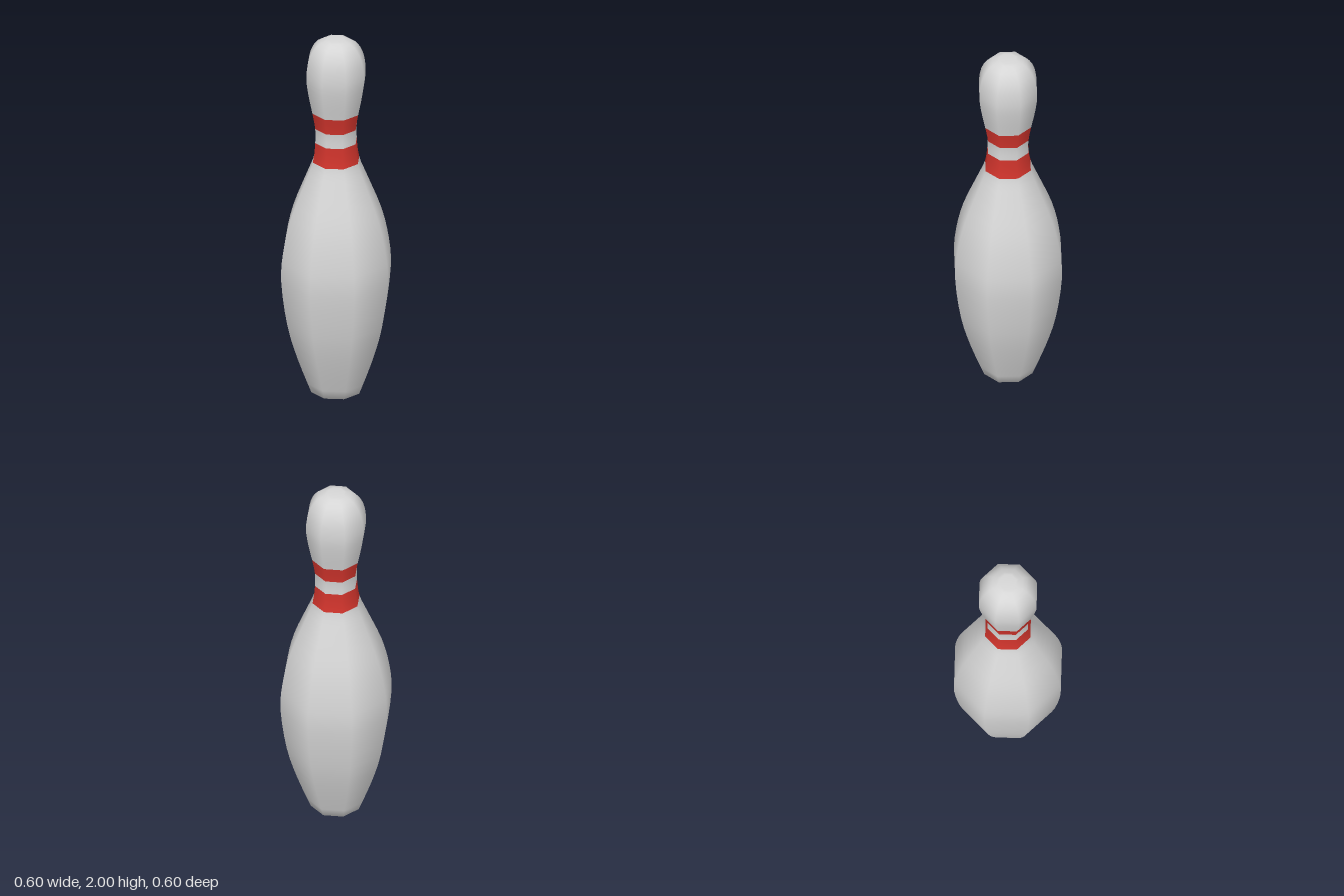
import * as THREE from 'three';

const SIDES = 8;
const STEPS = 3; // spline subdivisions between profile points

export function createModel() {
  const group = new THREE.Group();
  group.name = 'bowlingPin';

  const white = new THREE.MeshStandardMaterial({ color: 0xd6d6d6 });
  white.name = 'white';
  const red = new THREE.MeshStandardMaterial({ color: 0xd0342c });
  red.name = 'red';

  // Profile as [radius, height], with points on the stripe edges
  const profile = [
    [0.134, 0], [0.208, 0.2], [0.264, 0.4], [0.297, 0.65], [0.287, 0.82],
    [0.246, 1.0], [0.168, 1.2], [0.126, 1.31], [0.113, 1.42], [0.113, 1.5],
    [0.128, 1.59], [0.15, 1.7], [0.161, 1.8], [0.147, 1.9], [0.105, 1.97], [0.045, 2],
  ].map(([r, y]) => new THREE.Vector2(r, y));
  const outline = new THREE.SplineCurve(profile).getPoints((profile.length - 1) * STEPS);
  const points = [new THREE.Vector2(0, 0), ...outline, new THREE.Vector2(0, 2)];

  // One smooth octagonal lathe, whose rows are shared out among the parts
  const lathe = new THREE.LatheGeometry(points, SIDES);
  const rows = points.length - 1;
  const rowAt = (profileIndex) => 1 + profileIndex * STEPS;

  function addPart(name, from, to, material) {
    const index = [];
    for (let side = 0; side < SIDES; side++) {
      for (let k = (side * rows + from) * 6; k < (side * rows + to) * 6; k++) {
        index.push(lathe.index.getX(k));
      }
    }
    const geometry = lathe.clone();
    geometry.setIndex(index);
    const mesh = new THREE.Mesh(geometry, material);
    mesh.name = name;
    group.add(mesh);
  }

  addPart('body', 0, rowAt(7), white);
  addPart('lowerStripe', rowAt(7), rowAt(8), red);
  addPart('neck', rowAt(8), rowAt(9), white);
  addPart('upperStripe', rowAt(9), rowAt(10), red);
  addPart('head', rowAt(10), rows, white);

  return group;
}
